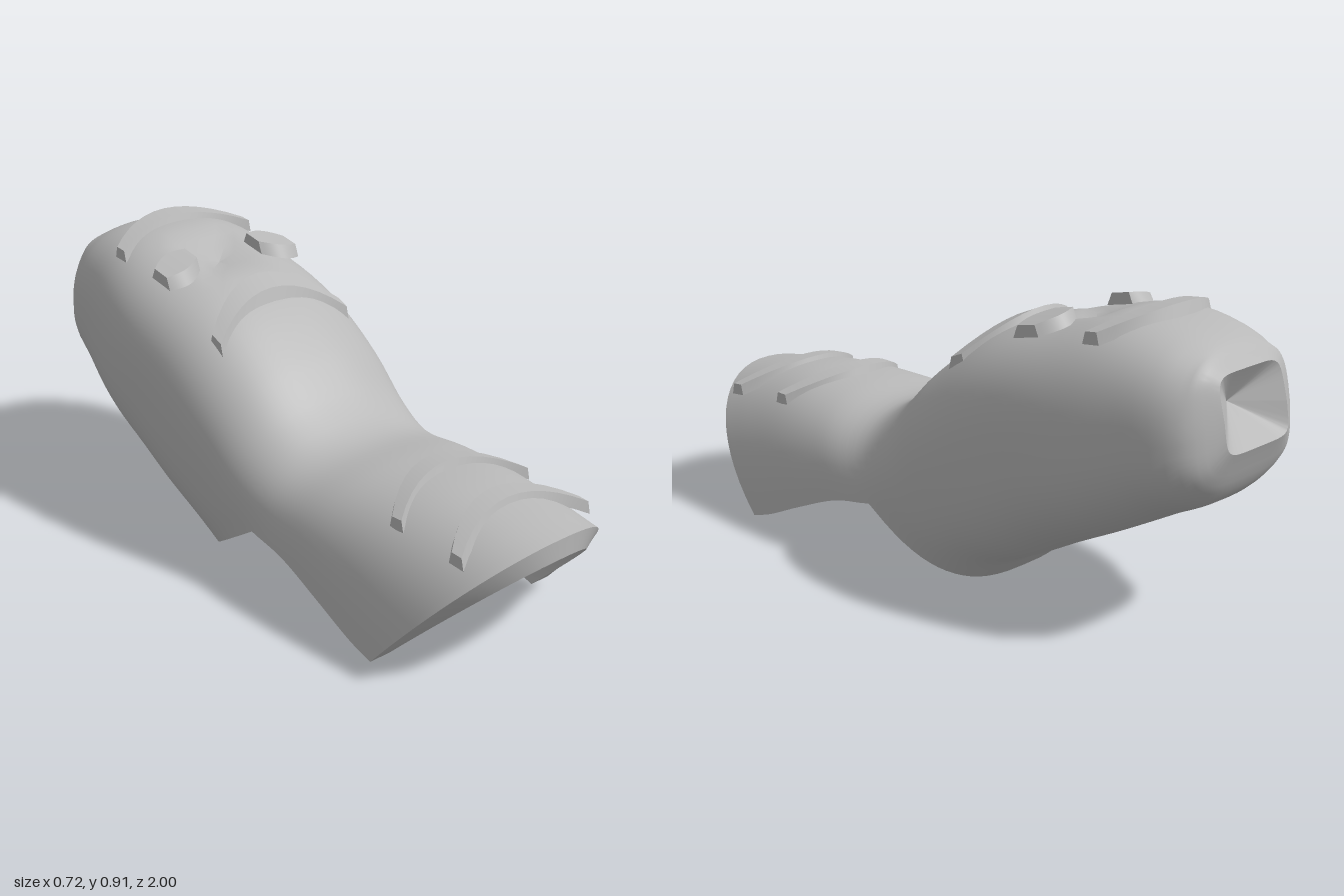
import * as THREE from 'three';
import { mergeGeometries, toCreasedNormals } from 'three/addons/utils/BufferGeometryUtils.js';

const V = (x, y, z) => new THREE.Vector3(x, y, z);
const { lerp, smoothstep } = THREE.MathUtils;
const N = 32, STEPS = 5, SIDE_WALL = 0.07, WALL = 0.06, WAIST = 4;

// Stations from open front to rounded tip: top z,y | side z,y,half width | bottom z,y
const stations = [
  [1.0, 0.43, 0.66, 0.035, 0.355],
  [0.86, 0.452, 0.58, 0.06, 0.355],
  [0.66, 0.472, 0.44, 0.12, 0.352],
  [0.45, 0.465, 0.27, 0.185, 0.345],
  [0.25, 0.45, 0.13, 0.21, 0.34, -0.19, 0.005],
  [0.13, 0.51, 0.0, 0.26, 0.35, -0.27, 0.075],
  [0.0, 0.63, -0.15, 0.36, 0.36, -0.38, 0.13],
  [-0.2, 0.765, -0.35, 0.47, 0.36, -0.5, 0.195],
  [-0.45, 0.845, -0.55, 0.54, 0.35, -0.65, 0.27],
  [-0.68, 0.885, -0.74, 0.59, 0.31, -0.8, 0.35],
  [-0.89, 0.835, -0.92, 0.61, 0.25, -0.93, 0.425],
  [-0.955, 0.775, -0.985, 0.66, 0.14, -1.0, 0.57],
];
const last = stations.length - 1;
const topCurve = new THREE.CatmullRomCurve3(stations.map(s => V(0, s[1], s[0])));
const sideCurve = new THREE.CatmullRomCurve3(stations.map(s => V(s[4], s[3], s[2])));
const bottomCurve = new THREE.CatmullRomCurve3(stations.slice(WAIST).map(s => V(0, s[6], s[5])));

// Half of a cross-section, from the +x side to the -x side
function halfSection(t, lower, inner) {
  const side = sideCurve.getPoint(t / last);
  const end = lower ? bottomCurve.getPoint((t - WAIST) / (last - WAIST)) : topCurve.getPoint(t / last);
  // The lining roof hangs lower at the waist
  if (inner) end.y += lower ? WALL : -WALL * (1 + 0.8 * Math.exp(-((t - WAIST) ** 2) / 2));
  // Rounder at the front edge, boxier along the sleeve, nearly square at the tip
  const body = lower ? lerp(3, 2.6, smoothstep(t, 7, 10)) : lerp(2.2, 2.6, smoothstep(t, 0, 7));
  const e = 2 / lerp(body, 6, smoothstep(t, last - 1, last));
  const w = side.x - (inner ? SIDE_WALL : 0), row = [];
  for (let j = 0; j <= N; j++) {
    const a = Math.PI * j / N, c = Math.cos(a);
    const f = Math.pow(Math.max(0, Math.sin(a)), e);
    const p = V(w * Math.sign(c) * Math.pow(Math.abs(c), e),
      side.y + (end.y - side.y) * f, side.z + (end.z - side.z) * f);
    // Square pyramid dent between the two nubs
    if (!lower && !inner) p.y -= 0.04 * Math.max(0, 1 - Math.max(Math.abs(p.x) / 0.13, Math.abs(p.z + 0.45) / 0.12));
    row.push(p);
  }
  return row;
}

function sections(from, to, lower, inner) {
  const rows = [], n = (to - from) * STEPS;
  for (let i = 0; i <= n; i++) rows.push(halfSection(from + (to - from) * i / n, lower, inner));
  return rows;
}

// Joins rows of points into a surface
function skin(rows, flip = false) {
  const cols = rows[0].length, index = [];
  for (let i = 0; i < rows.length - 1; i++) for (let j = 0; j < cols - 1; j++) {
    const a = i * cols + j, b = a + 1, c = a + cols, d = c + 1;
    index.push(...(flip ? [a, b, c, b, d, c] : [a, c, b, b, c, d]));
  }
  const g = new THREE.BufferGeometry().setFromPoints(rows.flat());
  g.setIndex(index);
  return g;
}

// Raised bar following the curved back from x0 to x1
function bar(x0, x1, yMid, yEnd, zMid, zEnd, half, slope) {
  const rows = [], n = 12, xe = Math.max(Math.abs(x0), Math.abs(x1));
  for (let i = 0; i <= n; i++) {
    const u = i / n, x = x0 + (x1 - x0) * u, q = (x / xe) ** 2;
    const y = yMid + (yEnd - yMid) * q, z = zMid + (zEnd - zMid) * q;
    const h = half * (0.6 + 0.4 * Math.sin(Math.PI * u));
    const at = (dz, dy) => V(x, y + dy - slope * dz, z + dz);
    rows.push([at(-h * 1.1, -0.035), at(-h * 0.75, 0), at(h * 0.75, 0), at(h * 1.1, -0.035), at(-h * 1.1, -0.035)]);
  }
  const cap = r => { const m = r[0].clone().lerp(r[3], 0.5); return r.map(() => m); };
  return skin([cap(rows[0]), ...rows, cap(rows[n])], x1 < x0);
}

export function createModel() {
  const group = new THREE.Group();
  const grey = new THREE.MeshStandardMaterial({ color: 0xb8b8b8, side: THREE.DoubleSide });
  grey.name = 'plain grey';
  const add = (name, parts, crease) => {
    const mesh = new THREE.Mesh(toCreasedNormals(mergeGeometries(parts), crease), grey);
    mesh.name = name;
    group.add(mesh);
  };

  // Outer shell: arch at the front, closed sleeve behind the waist
  const outTop = sections(0, last, false, false), outLow = sections(WAIST, last, true, false);
  add('outerShell', [skin(outTop), skin(outLow, true)], 0.45);

  // Hollow inside, closed just before the tip
  const inTop = sections(0, last - 1, false, true), inLow = sections(WAIST, last - 1, true, true);
  const wall = V(0, 0.62, -0.87);
  const close = (rows) => [...rows, rows[rows.length - 1].map(() => wall)];
  add('innerLining', [skin(close(inTop), true), skin(close(inLow))], 0.6);

  // Rims joining the two skins: front edge, both side edges, sleeve mouth
  const w = WAIST * STEPS;
  const edge = (rows, j) => rows.slice(0, w + 1).map(r => r[j]);
  add('rims', [
    skin([outTop[0], inTop[0]], true),
    skin([edge(outTop, 0), edge(inTop, 0)]),
    skin([edge(outTop, N), edge(inTop, N)], true),
    skin([outLow[0], inLow[0]]),
  ], 0.5);

  // Sunken facet at the tip
  const dent = V(0, 0.67, -0.89);
  const tip = r => [r[r.length - 1], r[0].map(() => dent)];
  add('tipDent', [skin(tip(outTop)), skin(tip(outLow), true)], 0.3);

  // Ridges across the back
  [
    ['rearRidge', 0.908, 0.855, -0.71, -0.63, 0.042, 0.1],
    ['middleRidge', 0.806, 0.7, -0.225, -0.145, 0.045, 0.42],
    ['frontRidge', 0.492, 0.425, 0.54, 0.635, 0.04, -0.05],
    ['edgeRidge', 0.478, 0.41, 0.775, 0.86, 0.04, 0.08],
  ].forEach(([name, ...r]) => add(name, [bar(-0.245, 0.245, ...r)], 0.5));

  // Pair of nubs beside the dent
  for (const s of [1, -1])
    add(s > 0 ? 'leftNub' : 'rightNub', [bar(s * 0.12, s * 0.25, 0.874, 0.835, -0.44, -0.41, 0.068, 0.2)], 0.5);
  return group;
}
